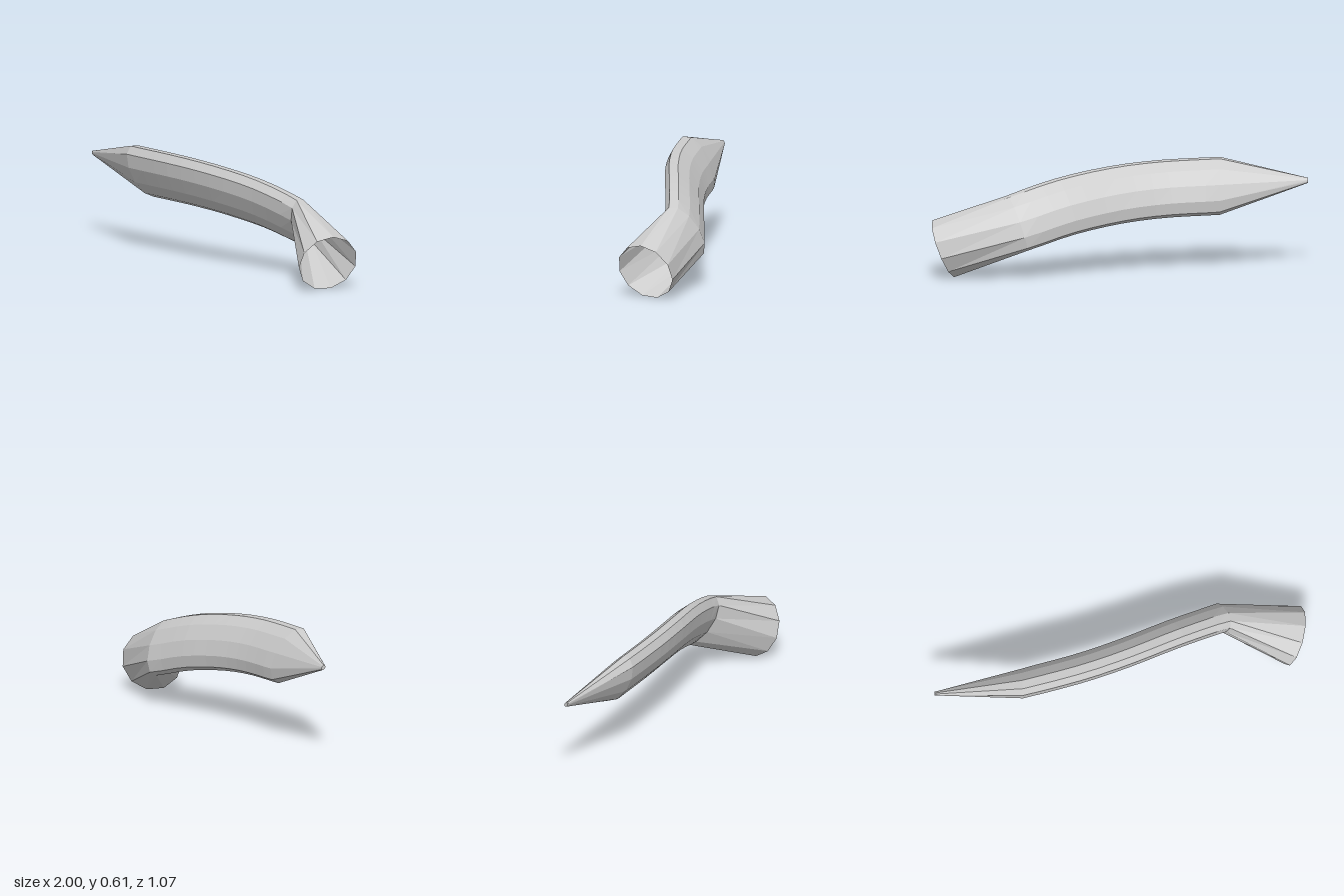
import * as THREE from 'three';

const SIDES = 11;
const ROLL = THREE.MathUtils.degToRad(30); // lean of the flattened section towards the front
const MAJOR = 0.173, MINOR = 0.08;

const material = new THREE.MeshStandardMaterial({
  color: 0xcccccc, flatShading: true, side: THREE.DoubleSide,
});

// One elliptical ring: centre, facing direction (yaw and pitch in degrees), two radii
function ring(center, yaw, pitch, major, minor) {
  const a = THREE.MathUtils.degToRad(yaw), p = THREE.MathUtils.degToRad(pitch);
  const n = new THREE.Vector3(Math.cos(a) * Math.cos(p), Math.sin(p), Math.sin(a) * Math.cos(p));
  const h = new THREE.Vector3(-Math.sin(a), 0, Math.cos(a));
  const u = new THREE.Vector3().crossVectors(h, n);
  const points = [];
  for (let k = 0; k < SIDES; k++) {
    const t = (k / SIDES) * Math.PI * 2;
    const c = major * Math.cos(t), s = minor * Math.sin(t);
    points.push(center.clone()
      .addScaledVector(u, c * Math.cos(ROLL) - s * Math.sin(ROLL))
      .addScaledVector(h, c * Math.sin(ROLL) + s * Math.cos(ROLL)));
  }
  return points;
}

// Skin a list of rings, optionally closing the first one
function loft(name, rings, capStart = false) {
  const index = [];
  for (let i = 0; i < rings.length - 1; i++) {
    for (let k = 0; k < SIDES; k++) {
      const a = i * SIDES + k, b = i * SIDES + ((k + 1) % SIDES);
      index.push(a, b, a + SIDES, b, b + SIDES, a + SIDES);
    }
  }
  if (capStart) for (let k = 1; k < SIDES - 1; k++) index.push(0, k + 1, k);
  const geometry = new THREE.BufferGeometry().setFromPoints(rings.flat());
  geometry.setIndex(index);
  geometry.computeVertexNormals();
  const mesh = new THREE.Mesh(geometry, material);
  mesh.name = name;
  return mesh;
}

export function createModel() {
  const group = new THREE.Group();
  group.name = 'curvedHorn';

  // Centre line of the bent body
  const curve = new THREE.CatmullRomCurve3([
    [-0.567, 0.468, -0.263], [-0.25, 0.462, -0.127], [0, 0.4425, -0.045],
    [0.3, 0.395, 0.03], [0.577, 0.32, 0.1],
  ].map((p) => new THREE.Vector3(...p)));

  // Body rings follow the curve; both end rings are mitred to their neighbours
  const steps = 12, body = [];
  for (let i = 0; i <= steps; i++) {
    const t = curve.getTangentAt(i / steps);
    let yaw = THREE.MathUtils.radToDeg(Math.atan2(t.z, t.x));
    let pitch = THREE.MathUtils.radToDeg(Math.asin(t.y));
    if (i === 0) { yaw = 36; pitch = 0; }
    if (i === steps) { yaw = 22.5; pitch = -15; }
    body.push(ring(curve.getPointAt(i / steps), yaw, pitch, MAJOR, MINOR));
  }

  const tip = ring(new THREE.Vector3(-0.992, 0.492, -0.522), 38, 0, 0.015, 0.01);
  const mouth = ring(new THREE.Vector3(0.867, 0.162, 0.405), 45, -22, MAJOR, MAJOR);

  group.add(
    loft('pointedTip', [tip, body[0]], true),
    loft('body', body),
    loft('openMouth', [body[steps], mouth]),
  );
  return group;
}
